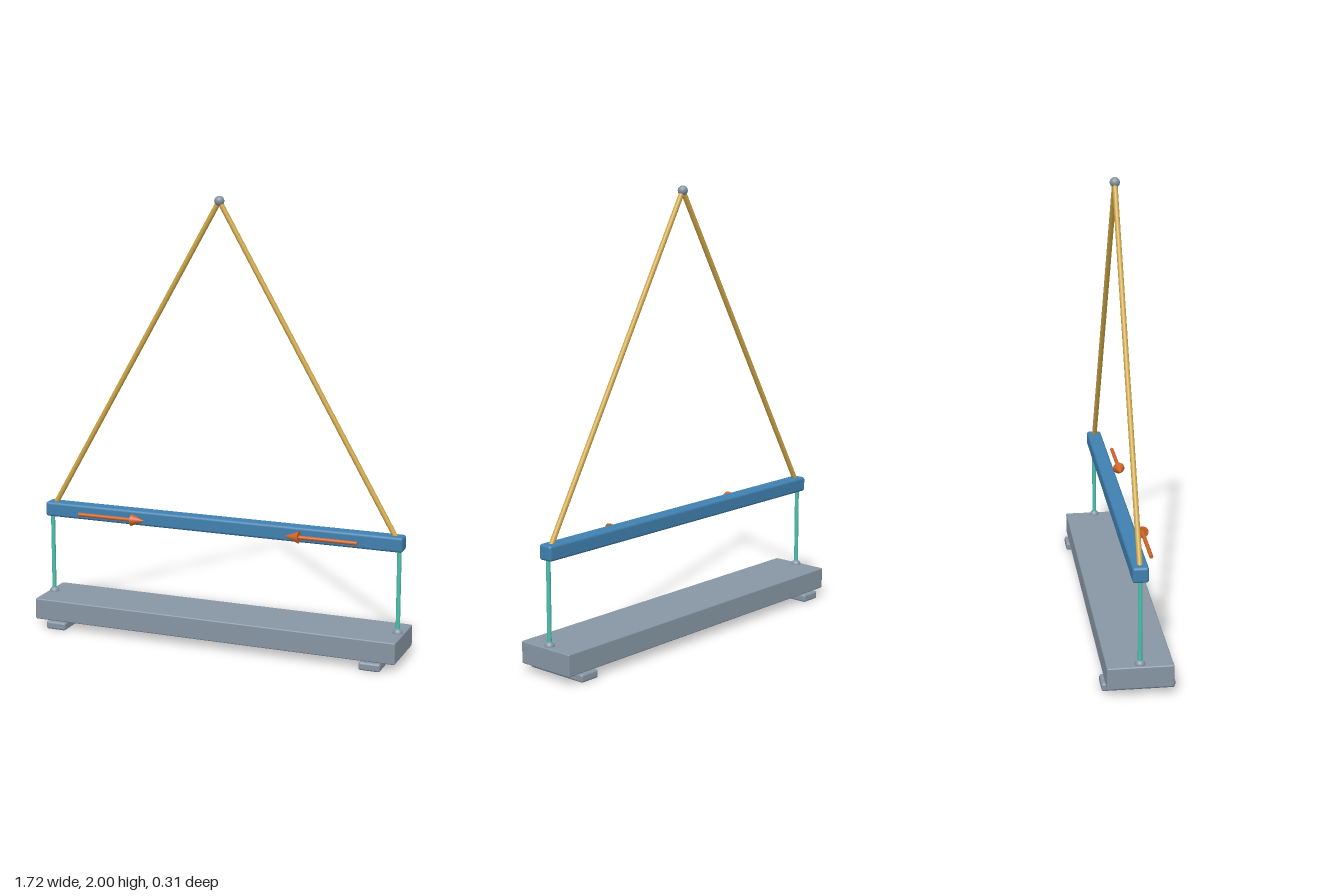
import * as THREE from 'three';
import { RoundedBoxGeometry } from 'three/addons/geometries/RoundedBoxGeometry.js';

const paint = (name, color) => {
  const m = new THREE.MeshStandardMaterial({ color });
  m.name = name;
  return m;
};

export function createModel() {
  const steel = paint('grey steel', 0x8796a4);
  const blue = paint('beam blue', 0x4080b0);
  const gold = paint('sling gold', 0xd0a848);
  const teal = paint('rope teal', 0x4cc0ac);
  const orange = paint('arrow orange', 0xd0642a);

  const model = new THREE.Group();
  model.name = 'spreaderBeamLift';

  const add = (name, geometry, material, x = 0, y = 0, z = 0) => {
    const mesh = new THREE.Mesh(geometry, material);
    mesh.name = name;
    mesh.position.set(x, y, z);
    model.add(mesh);
    return mesh;
  };

  // Round bar between two points, tapering from r0 to r1
  const bar = (name, a, b, r0, r1, material) => {
    const from = new THREE.Vector3(...a);
    const dir = new THREE.Vector3(...b).sub(from);
    const mesh = add(name, new THREE.CylinderGeometry(r1, r0, dir.length(), 24), material);
    mesh.position.copy(from).addScaledVector(dir, 0.5);
    mesh.quaternion.setFromUnitVectors(new THREE.Vector3(0, 1, 0), dir.normalize());
    return mesh;
  };

  // Load block, spreader beam and top hook point
  add('load', new RoundedBoxGeometry(1.724, 0.098, 0.28, 3, 0.006), steel, 0, 0.086, 0);
  add('spreaderBeam', new RoundedBoxGeometry(1.71, 0.068, 0.068, 3, 0.012), blue, 0, 0.538, 0);
  add('hookPoint', new THREE.SphereGeometry(0.022, 24, 16), steel, 0, 1.978, 0);

  for (const [s, side] of [[1, 'left'], [-1, 'right']]) {
    // Slings, hanging ropes and lifting lugs
    bar(side + 'Sling', [s * 0.83, 0.54, 0], [0, 1.978, 0], 0.0115, 0.0115, gold);
    bar(side + 'Rope', [s * 0.834, 0.135, 0], [s * 0.834, 0.538, 0], 0.0095, 0.0095, teal);
    add(side + 'Lug', new THREE.SphereGeometry(0.022, 24, 16), steel, s * 0.834, 0.135, 0);

    // Skid under each end of the load
    add(side + 'Skid', new RoundedBoxGeometry(0.097, 0.037, 0.31, 3, 0.01), steel, s * 0.752, 0.0185, 0);

    // Compression arrows in front of the beam, pointing inward
    bar(side + 'ArrowShaft', [s * 0.665, 0.538, 0.069], [s * 0.395, 0.538, 0.069], 0.0085, 0.0085, orange);
    bar(side + 'ArrowHead', [s * 0.4, 0.538, 0.069], [s * 0.335, 0.538, 0.069], 0.027, 0, orange);
  }

  return model;
}
